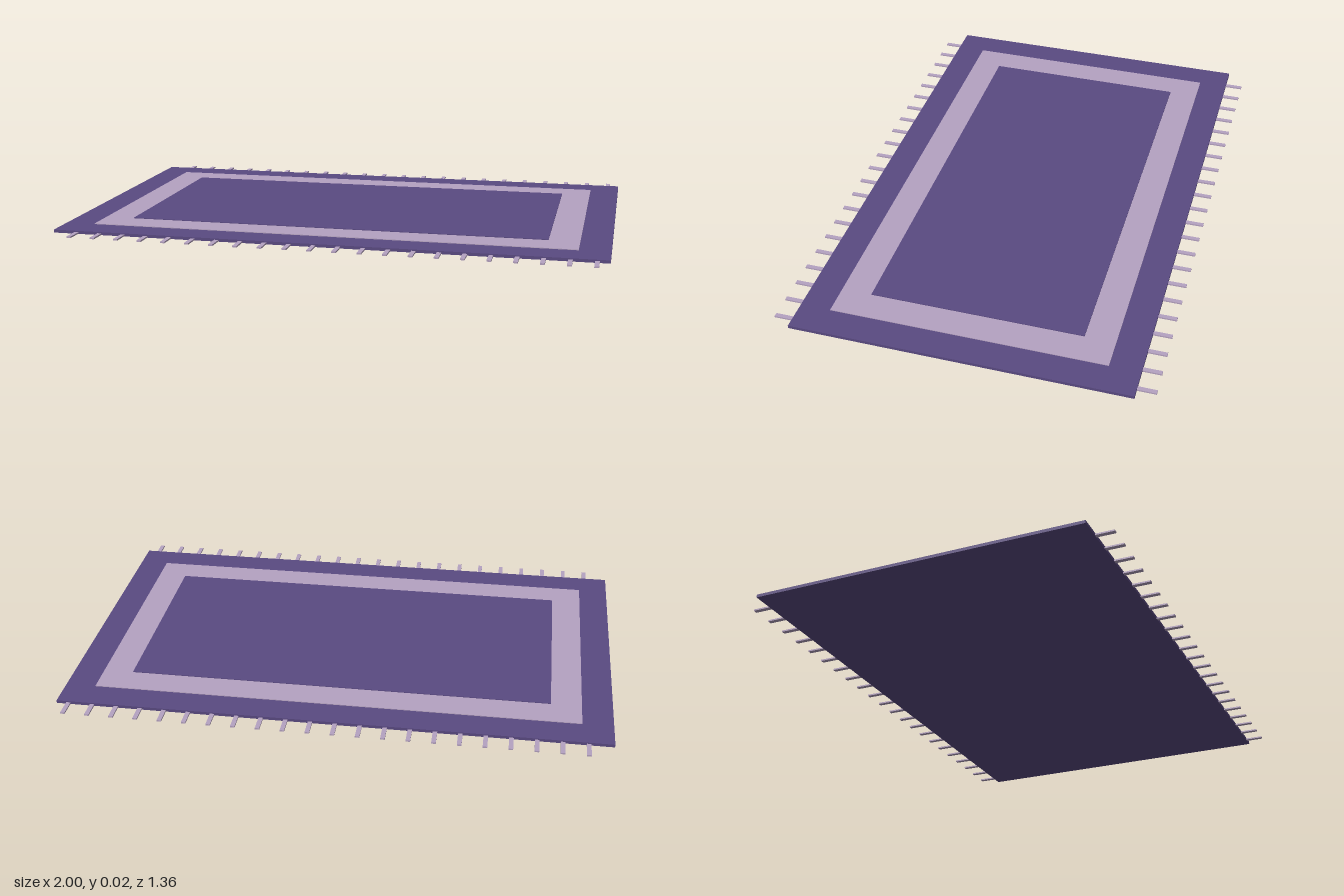
import * as THREE from 'three';

export function createModel() {
  const rug = new THREE.Group();
  rug.name = 'rug';
  const purple = new THREE.MeshStandardMaterial({ color: 0x5a4a82 });
  const lilac = new THREE.MeshStandardMaterial({ color: 0xb5a2c1 });

  // Box spanning y0..y1, centred on x and z
  function slab(name, width, depth, y0, y1, material, x = 0, z = 0) {
    const mesh = new THREE.Mesh(new THREE.BoxGeometry(width, y1 - y0, depth), material);
    mesh.name = name;
    mesh.position.set(x, (y0 + y1) / 2, z);
    return mesh;
  }

  // Woven layers, each slightly higher than the one around it
  rug.add(slab('base', 2, 1.222, 0, 0.011, purple));
  rug.add(slab('borderBand', 1.778, 1, 0.001, 0.0135, lilac));
  rug.add(slab('centrePanel', 1.556, 0.778, 0.002, 0.016, purple));

  // Fringe along both long edges
  for (const side of [1, -1]) {
    const fringe = new THREE.Group();
    fringe.name = side > 0 ? 'frontFringe' : 'backFringe';
    for (let i = 0; i < 22; i++) {
      const x = -0.911 + i * 0.0889;
      fringe.add(slab('tassel', 0.016, 0.067, 0.001, 0.0065, lilac, x, side * 0.6445));
    }
    rug.add(fringe);
  }
  return rug;
}
